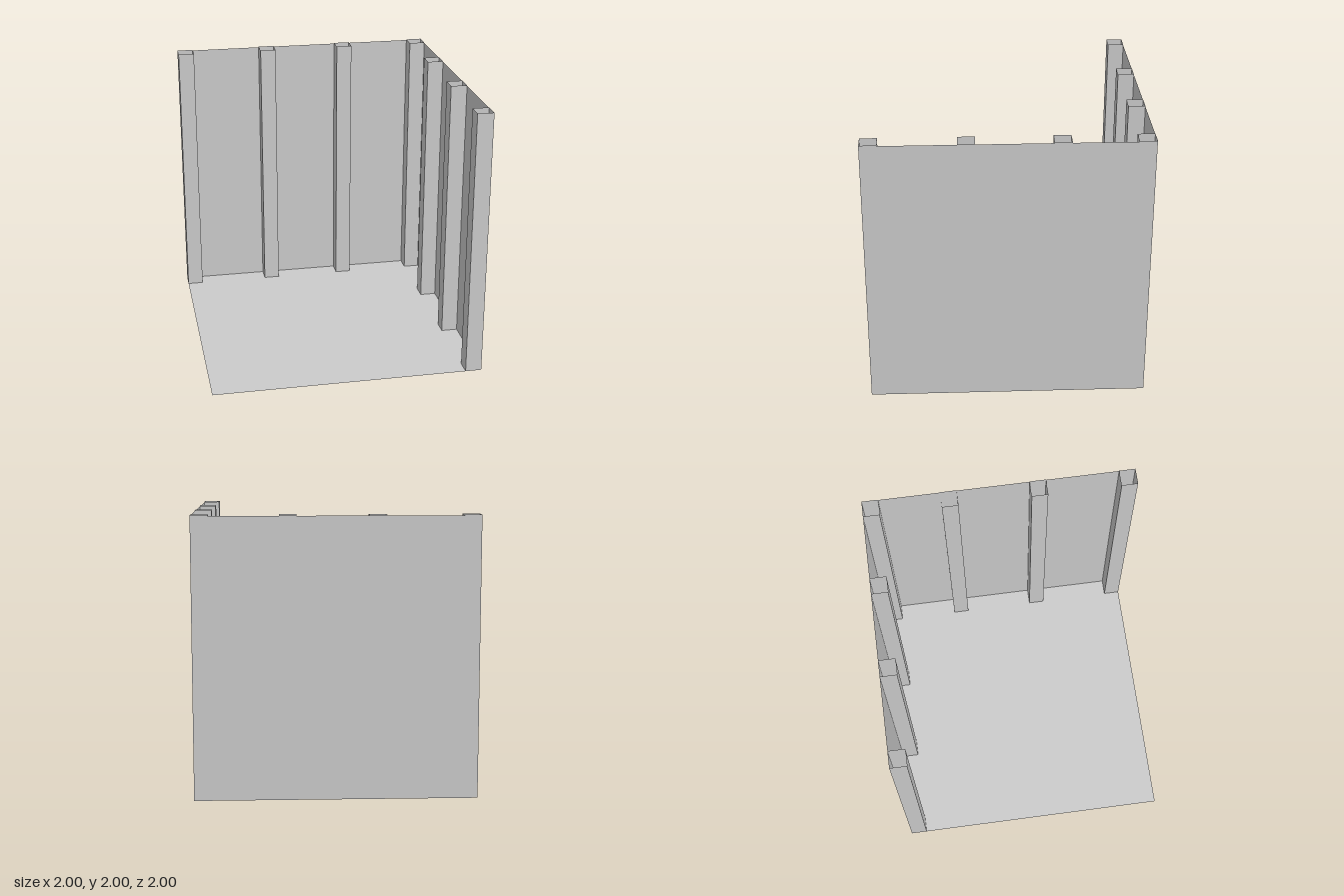
import * as THREE from 'three';

export function createModel() {
  const group = new THREE.Group();
  const material = new THREE.MeshStandardMaterial({
    color: 0xcccccc, flatShading: true, side: THREE.DoubleSide,
  });
  const wallHeight = 1.995, postHeight = 2, postWidth = 0.12;

  function add(name, geometry, x, y, z) {
    const mesh = new THREE.Mesh(geometry, material);
    mesh.name = name;
    mesh.position.set(x, y, z);
    group.add(mesh);
  }

  // Thin floor and two walls, outer faces pointing outwards
  add('floor', new THREE.PlaneGeometry(2, 2).rotateX(-Math.PI / 2), 0, 0, 0);
  add('backWall', new THREE.PlaneGeometry(2, wallHeight).rotateY(Math.PI), 0, wallHeight / 2, -1);
  add('sideWall', new THREE.PlaneGeometry(2, wallHeight).rotateY(Math.PI / 2), 1, wallHeight / 2, 0);

  // Hollow square posts, open at both ends
  const radius = postWidth / Math.SQRT2;
  const post = new THREE.CylinderGeometry(radius, radius, postHeight, 4, 1, true, Math.PI / 4);
  const edge = 1 - postWidth / 2;

  // Posts along the back wall, including the shared corner
  for (const x of [-edge, -0.287, 0.333, edge]) {
    add(x === edge ? 'cornerPost' : 'backPost', post, x, postHeight / 2, -edge);
  }
  // Posts along the side wall
  for (const z of [-0.37, 0.283, edge]) add('sidePost', post, edge, postHeight / 2, z);

  return group;
}
